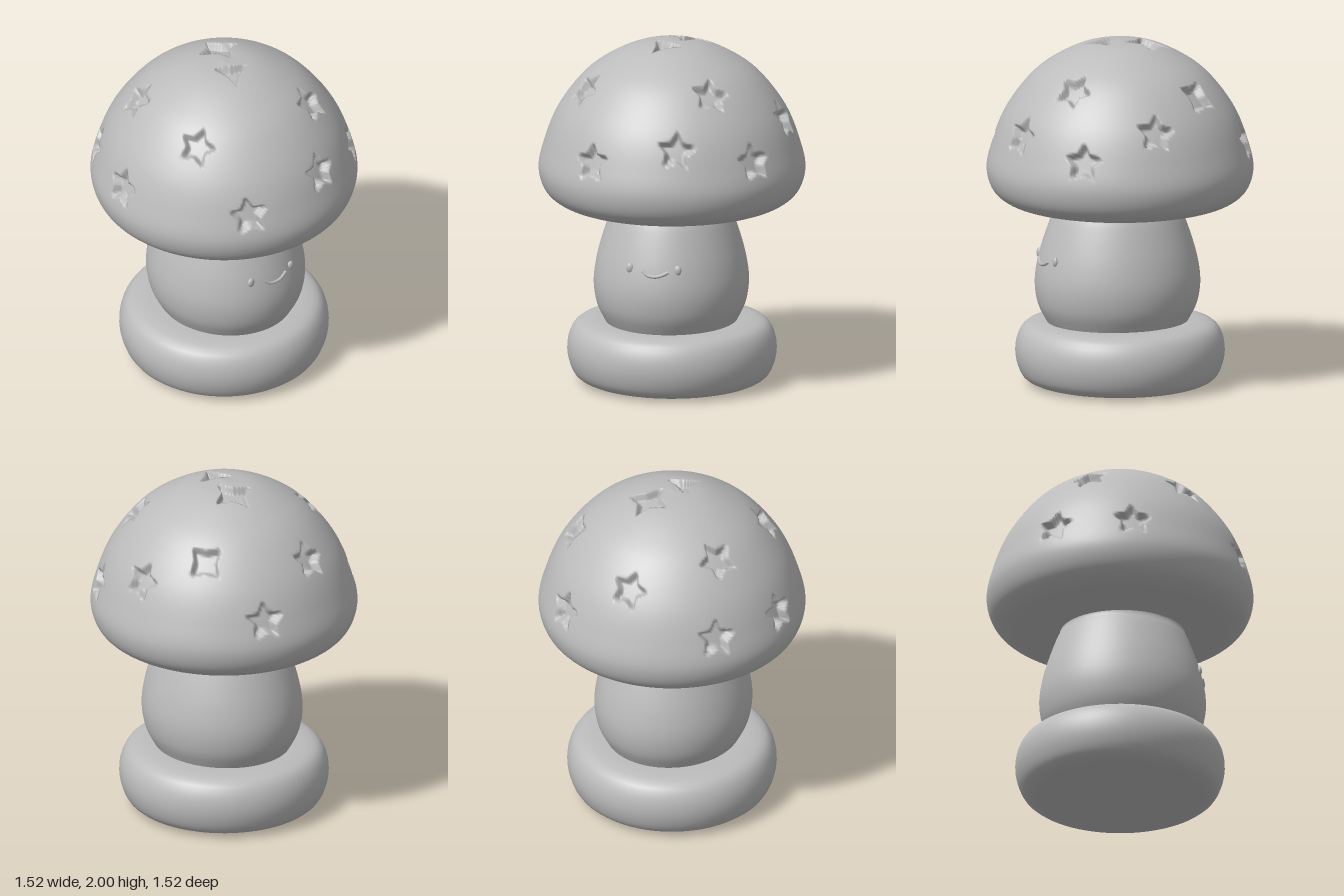
import * as THREE from 'three';
import { mergeVertices } from 'three/addons/utils/BufferGeometryUtils.js';

const stone = new THREE.MeshStandardMaterial({ color: 0xbcbcbc });
stone.name = 'plain grey';

// Smooth seamless lathe through a few profile points, listed bottom to top
function lathe(points, steps, sides) {
  const curve = new THREE.CatmullRomCurve3(
    points.map(([r, y]) => new THREE.Vector3(r, y, 0)), false, 'centripetal');
  const profile = curve.getSpacedPoints(steps).map(p => new THREE.Vector2(Math.max(p.x, 0), p.y));
  profile[0].x = points[0][0];
  const g = new THREE.LatheGeometry(profile, sides);
  g.deleteAttribute('uv');
  g.deleteAttribute('normal');
  const welded = mergeVertices(g, 1e-5);
  welded.computeVertexNormals();
  return welded;
}

function part(name, geometry, parent) {
  const mesh = new THREE.Mesh(geometry, stone);
  mesh.name = name;
  parent.add(mesh);
  return mesh;
}

// Star hollows: x, y, z, number of points, turn, outer radius, inner radius
const STARS = [
  [-0.01, 1.42, 0.72, 5, 0, 0.12, 0.062],
  [-0.44, 1.42, 0.57, 5, 0.1, 0.12, 0.062],
  [0.66, 1.42, 0.32, 5, -0.1, 0.12, 0.062],
  [-0.23, 1.80, 0.45, 5, -0.3, 0.12, 0.062],
  [0.32, 1.77, 0.44, 5, 0.2, 0.12, 0.062],
  [-0.60, 1.67, 0.08, 5, 0.2, 0.12, 0.062],
  [0.67, 1.52, -0.19, 5, 0.1, 0.12, 0.062],
  [0.43, 1.42, -0.59, 5, 0, 0.12, 0.062],
  [0.40, 1.80, -0.33, 5, 0.3, 0.12, 0.062],
  [0.01, 1.58, -0.66, 5, 0.15, 0.12, 0.062],
  [-0.31, 1.74, -0.47, 4, 0.75, 0.12, 0.066],
  [-0.66, 1.43, -0.33, 5, 0, 0.12, 0.062],
  [-0.14, 1.98, -0.07, 4, 0.05, 0.135, 0.065],
  [0.10, 1.98, 0.02, 3, -0.1, 0.115, 0.046],
];
const CAP_CENTRE = new THREE.Vector3(0, 1.25, 0);
const HOLLOW_DEPTH = 0.045;

// How far a point in the star's plane lies inside the outline
function insideStar(u, v, n, turn, R, r) {
  const sector = (2 * Math.PI) / n;
  let a = Math.atan2(u, v) - turn;
  a = Math.abs(a - sector * Math.round(a / sector));
  const d = Math.hypot(u, v);
  const ix = r * Math.cos(sector / 2), iy = r * Math.sin(sector / 2);
  const ex = ix - R, ey = iy;
  return (ex * (0 - d * Math.sin(a)) - ey * (R - d * Math.cos(a))) * -1 / Math.hypot(ex, ey) * -1 * -1;
}

// Press the star hollows into the cap
function pressStars(g) {
  const pos = g.attributes.position;
  const frames = STARS.map(([x, y, z, ...shape]) => {
    const n = new THREE.Vector3(x, y, z).sub(CAP_CENTRE).normalize();
    const up = y > 1.9 ? new THREE.Vector3(0, 0, -1) : new THREE.Vector3(0, 1, 0);
    const right = new THREE.Vector3().crossVectors(up, n).normalize();
    return { n, right, up: new THREE.Vector3().crossVectors(n, right), shape };
  });
  // orient the edge test so that the star's middle counts as inside
  const p = new THREE.Vector3();
  for (let i = 0; i < pos.count; i++) {
    p.fromBufferAttribute(pos, i).sub(CAP_CENTRE);
    for (const { n, right, up, shape } of frames) {
      if (p.dot(n) < 0.6) continue;
      const u = p.dot(right), v = p.dot(up);
      if (Math.hypot(u, v) > shape[2]) continue;
      const sign = Math.sign(insideStar(0, 0, ...shape));
      const d = sign * insideStar(u, v, ...shape);
      if (d <= 0) continue;
      p.addScaledVector(n, -HOLLOW_DEPTH * THREE.MathUtils.smoothstep(d, 0, 0.014));
      break;
    }
    p.add(CAP_CENTRE);
    pos.setXYZ(i, p.x, p.y, p.z);
  }
  g.computeVertexNormals();
  return g;
}

export function createModel() {
  const model = new THREE.Group();
  model.name = 'mushroom';

  // Rounded disc foot
  part('base', lathe([[0, 0], [0.3, 0.003], [0.48, 0.01], [0.55, 0.045], [0.586, 0.12], [0.597, 0.2],
    [0.583, 0.28], [0.545, 0.34], [0.48, 0.362], [0.38, 0.368], [0, 0.368]], 48, 72), model);

  // Bulging stem, slightly wider from side to side
  const stem = part('stem', lathe([[0.36, 0.34], [0.385, 0.385], [0.42, 0.46], [0.438, 0.55], [0.439, 0.63],
    [0.422, 0.74], [0.39, 0.86], [0.35, 0.98], [0.33, 1.03], [0.34, 1.06]], 32, 72), model);
  stem.scale.x = 1.08;
  stem.position.x = 0.015;

  // Domed cap with star hollows
  const cap = lathe([[0, 1.03], [0.38, 1.033], [0.55, 1.045], [0.655, 1.075], [0.725, 1.135], [0.76, 1.25],
    [0.727, 1.41], [0.65, 1.6], [0.497, 1.8], [0.36, 1.9], [0.19, 1.975], [0, 2.0]], 160, 384);
  part('cap', pressStars(cap), model);

  // Tiny worn face on the side of the stem
  const face = new THREE.Group();
  face.name = 'face';
  model.add(face);
  const smilePath = new THREE.CatmullRomCurve3([
    new THREE.Vector3(0.463, 0.75, 0.06), new THREE.Vector3(0.473, 0.728, 0.03),
    new THREE.Vector3(0.475, 0.722, -0.01), new THREE.Vector3(0.472, 0.73, -0.05),
    new THREE.Vector3(0.461, 0.75, -0.09)]);
  part('smile', new THREE.TubeGeometry(smilePath, 20, 0.01, 8), face);
  for (const side of [1, -1]) {
    const eye = part('eye', new THREE.SphereGeometry(0.024, 16, 12), face);
    eye.position.set(0.439, 0.758, 0.14 * side);
    eye.scale.set(0.6, 1.2, 0.9);
  }
  return model;
}
